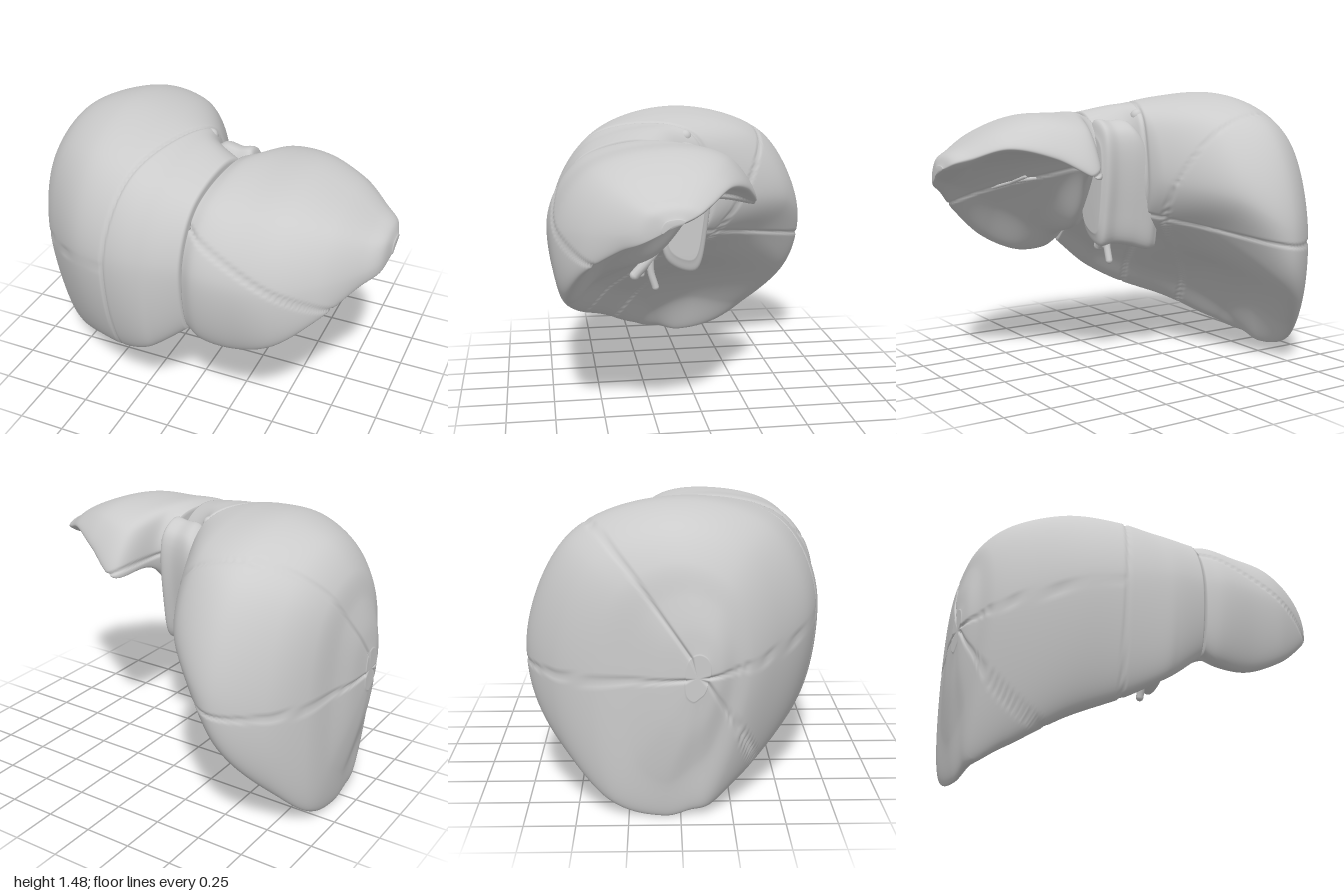
import * as THREE from 'three';

const { lerp, smoothstep } = THREE.MathUtils;
const material = new THREE.MeshStandardMaterial({ color: 0xcccccc, roughness: 0.6 });

// Each section: x, then z,y of top, front, front rim, hollow, back rim and back.
const rightSections = [
  [-.945, .03, 1.11, .25, .8, .13, .36, -.07, .2, -.2, .3, -.22, .75],
  [-.9, 0, 1.26, .34, .8, .13, .06, -.08, 0, -.33, .09, -.41, .75],
  [-.78, -.02, 1.4, .47, .85, .24, .1, -.12, .25, -.5, .22, -.61, .72],
  [-.55, -.02, 1.48, .64, .92, .44, .23, -.1, .48, -.67, .5, -.757, .78],
  [-.3, .05, 1.465, .715, .95, .59, .33, .05, .6, -.43, .76, -.63, .95],
  [-.12, .1, 1.425, .73, .98, .66, .42, .22, .67, -.08, .8, -.26, 1.02],
  [-.04, .14, 1.41, .73, .99, .66, .47, .24, .69, .04, .82, -.04, 1.05],
  [.12, .25, 1.375, .715, 1, .645, .6, .3, .76, .12, .85, .04, 1.05],
];
const leftSections = [
  [.135, .25, 1.36, .71, 1, .65, .62, .25, .76, .05, 1, -.02, 1.2],
  [.2, .2, 1.38, .75, 1, .66, .575, .2, .77, .02, 1, -.05, 1.15],
  [.34, .15, 1.38, .755, 1, .66, .567, .2, .93, -.1, 1.14, -.295, 1.06],
  [.55, .15, 1.375, .725, 1, .68, .66, .2, 1.08, -.05, 1.18, -.225, 1.17],
  [.75, .17, 1.305, .61, 1.03, .61, .83, .2, 1.12, .02, 1.18, -.1, 1.22],
  [.9, .2, 1.215, .46, 1.04, .45, .965, .2, 1.08, .07, 1.13, .02, 1.17],
];

// Fills in the domed shoulders and the hollow; sections lean where the two lobes meet.
function lobeSection([x, ...zy]) {
  const at = (k) => new THREE.Vector3(x, zy[2 * k + 1], zy[2 * k]);
  const [top, front, rim, hollow, backRim, back] = [0, 1, 2, 3, 4, 5].map(at);
  const shoulder = (p) => new THREE.Vector3(x, lerp(p.y, top.y, 0.75), lerp(top.z, p.z, 0.7));
  const under = new THREE.Vector3(x, lerp(rim.y, hollow.y, 0.5), lerp(rim.z, hollow.z, 0.4));
  const lean = 0.13 * smoothstep(x, -0.4, 0.1) * (1 - smoothstep(x, 0.13, 0.35));
  const loop = [top, shoulder(front), front, rim, under, hollow, backRim, back, shoulder(back)];
  loop.forEach((p) => { p.x += lean * (0.35 - p.z); });
  return loop;
}

// Copy of a section at another x, scaled about a centre
function scaledSection(section, x, y, z, scale) {
  return section.map((p) => new THREE.Vector3(x, lerp(y, p.y, scale), lerp(z, p.z, scale)));
}

// Smooth skin through the sections; around and along are the sample counts.
function loft(sections, around, along) {
  const loops = sections.map((points) => {
    const curve = new THREE.CatmullRomCurve3(points, true);
    return Array.from({ length: around }, (_, j) => curve.getPoint(j / around));
  });
  const positions = [], index = [];
  const rails = loops[0].map((_, j) => new THREE.CatmullRomCurve3(loops.map((l) => l[j])));
  for (let i = 0; i <= along; i++) {
    rails.forEach((rail) => positions.push(...rail.getPoint(i / along).toArray()));
  }
  for (let i = 0; i < along; i++) {
    for (let j = 0; j < around; j++) {
      const a = i * around + j, b = i * around + (j + 1) % around;
      index.push(a, b, a + around, b, b + around, a + around);
    }
  }
  // End caps: a slightly shrunken ring, then a centre point
  for (const end of [0, 1]) {
    const loop = loops[end ? loops.length - 1 : 0];
    const centre = loop.reduce((s, p) => s.add(p), new THREE.Vector3()).divideScalar(around);
    const row = end ? along * around : 0, ring = positions.length / 3;
    const bulge = end ? 0.004 : -0.004;
    loop.forEach((p) => {
      const q = p.clone().lerp(centre, 0.04);
      positions.push(q.x + bulge, q.y, q.z);
    });
    positions.push(centre.x + bulge, centre.y, centre.z);
    for (let j = 0; j < around; j++) {
      const n = (j + 1) % around;
      const triangles = [[row + j, row + n, ring + j], [row + n, ring + n, ring + j],
        [ring + j, ring + n, ring + around]];
      triangles.forEach(([a, b, c]) => (end ? index.push(a, b, c) : index.push(a, c, b)));
    }
  }
  const geometry = new THREE.BufferGeometry();
  geometry.setAttribute('position', new THREE.Float32BufferAttribute(positions, 3));
  geometry.setIndex(index);
  geometry.computeVertexNormals();
  return geometry;
}

// Presses narrow furrows where the given distance functions cross zero.
function furrow(geometry, distances) {
  const pos = geometry.attributes.position, nor = geometry.attributes.normal;
  const p = new THREE.Vector3(), n = new THREE.Vector3();
  for (let i = 0; i < pos.count; i++) {
    p.fromBufferAttribute(pos, i);
    n.fromBufferAttribute(nor, i);
    const depth = Math.max(...distances.map((d) => Math.exp(-((d(p) / 0.008) ** 2))));
    p.addScaledVector(n, -0.011 * depth);
    pos.setXYZ(i, p.x, p.y, p.z);
  }
  geometry.computeVertexNormals();
  return geometry;
}

function add(parent, name, geometry) {
  const mesh = new THREE.Mesh(geometry, material);
  mesh.name = name;
  parent.add(mesh);
  return mesh;
}

// Round-ended vessel along a few points
function vessel(parent, name, radius, ...points) {
  const group = new THREE.Group();
  group.name = name;
  const path = points.map((p) => new THREE.Vector3(...p));
  add(group, 'vesselTube', new THREE.TubeGeometry(new THREE.CatmullRomCurve3(path), 16, radius, 10));
  for (const end of [path[0], path[path.length - 1]]) {
    add(group, 'vesselEnd', new THREE.SphereGeometry(radius, 10, 8)).position.copy(end);
  }
  parent.add(group);
}

export function createModel() {
  const model = new THREE.Group();
  model.name = 'liver';

  // Right lobe, rounded off at its outer side, with its segment furrows
  const right = rightSections.map(lobeSection);
  const outer = right[0];
  right.unshift(scaledSection(outer, -0.996, 0.76, 0.1, 0.25), scaledSection(outer, -0.98, 0.76, 0.1, 0.6));
  const middle = (p) => (p.x + 0.1 - 0.033 * (p.y - 1.4) + 0.37 * (p.z - 0.05)) / 1.07;
  const level = (p) => (middle(p) < 0 ? p.y - 0.85 - 0.13 * p.x - 0.1 * p.z : 1);
  const side = (p) => (middle(p) < 0 ? (p.z - 0.31 + 0.28 * p.x + 0.657 * p.y) / 1.23 : 1);
  add(model, 'rightLobe', furrow(loft(right, 240, 180), [middle, level, side]));

  // Left lobe, a thin hollow wing narrowing to a rounded tip
  const left = leftSections.map(lobeSection);
  const tip = left[left.length - 1];
  left.push(scaledSection(tip, 0.97, 1.095, 0.2, 0.65), scaledSection(tip, 0.996, 1.095, 0.2, 0.25));
  const slant = (p) => (p.y - 1.246 + 0.457 * p.x) / 1.1;
  add(model, 'leftLobe', furrow(loft(left, 190, 125), [slant]));

  // Caudate lobe between them at the back, with a low process towards the right lobe
  const slab = [[.05, 1.34], [.15, 1], [.13, .73], [-.02, .67], [-.08, .87], [-.08, 1.28]]
    .map(([z, y]) => new THREE.Vector3(0, y, z));
  const caudate = [[-.15, .76, -.04, .4], [-.1, .88, -.04, .8], [0, .97, -.02, 1],
    [.1, .98, 0, .98], [.17, .98, 0, 1], [.195, .98, .01, .8]]
    .map(([x, y, z, scale]) => scaledSection(slab, x, 0.98, 0, scale)
      .map((p) => p.add(new THREE.Vector3(0, y - 0.98, z))));
  add(model, 'caudateLobe', loft(caudate, 50, 30));

  // Great vein with its stump at the top
  add(model, 'veinStump', new THREE.SphereGeometry(0.036, 20, 14)).position.set(-0.07, 1.36, 0);
  vessel(model, 'greatVein', 0.03, [-.08, 1.34, -.01], [-.1, 1.2, -.06], [-.1, 1.05, -.1]);

  // Vessels entering the underside
  vessel(model, 'portalVein', 0.028, [-.03, .76, .16], [0, .7, .21], [0, .61, .29]);
  vessel(model, 'portalArtery', 0.02, [0, .72, .2], [0, .63, .2], [0, .54, .175]);
  vessel(model, 'bileDuct', 0.018, [-.02, .7, .25], [-.02, .61, .25]);

  // Thin ligament cords under the left lobe
  vessel(model, 'ligamentCord', 0.012, [.6, .97, .42], [.52, 1.01, .3], [.45, 1.03, .2]);
  vessel(model, 'ligamentBranch', 0.01, [.54, 1, .33], [.5, 1.04, .22]);
  return model;
}
